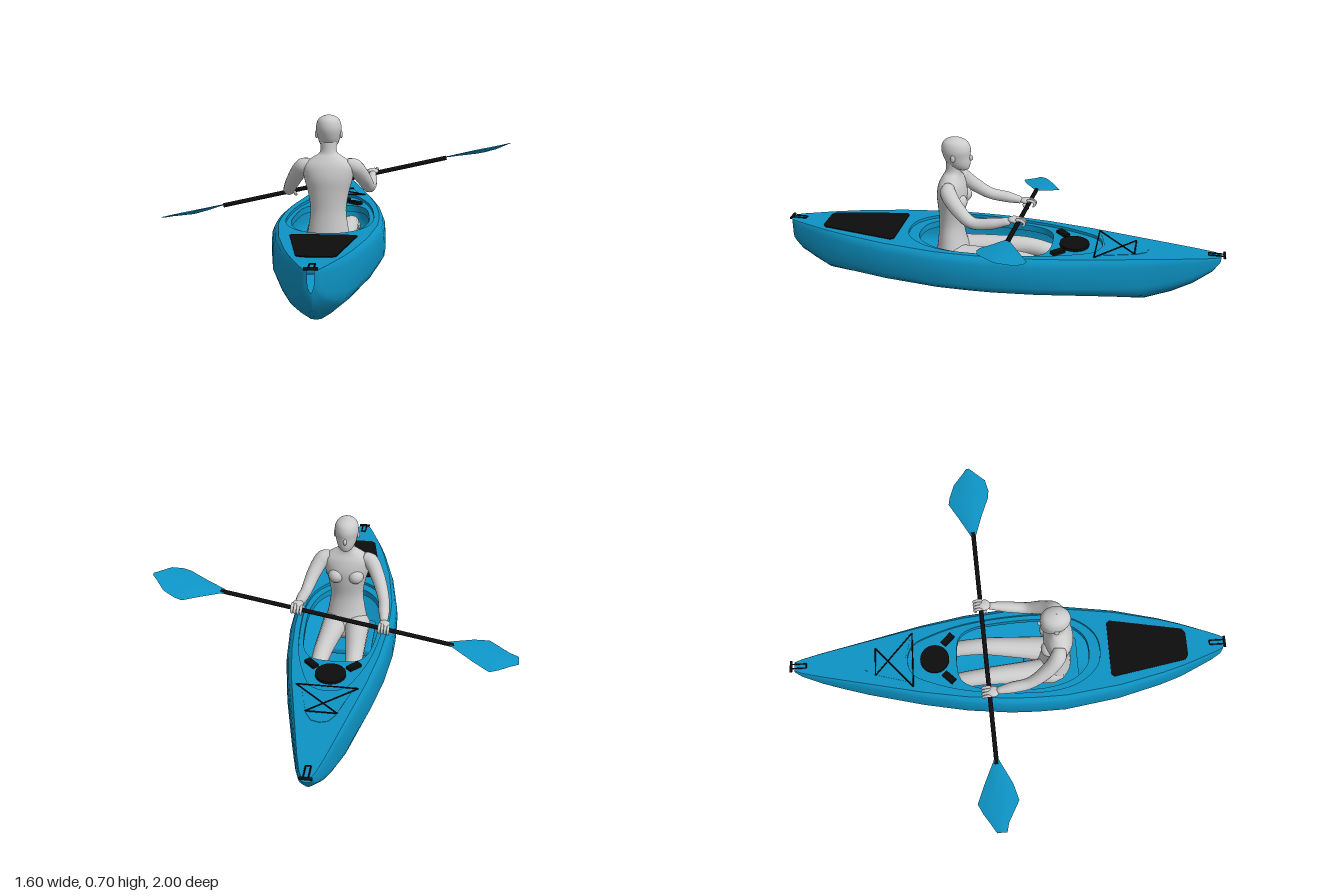
import * as THREE from 'three';
import { RoundedBoxGeometry } from 'three/addons/geometries/RoundedBoxGeometry.js';

const mat = (color) => new THREE.MeshStandardMaterial({ color, side: THREE.DoubleSide });
const V = (x, y, z) => new THREE.Vector3(x, y, z);
const DECK = 0.243, RECESS = 0.23;

// Skin a list of equal-length rings of points; wrap closes each ring.
function loft(rings, wrap) {
  const n = rings[0].length, pos = rings.flat().flatMap((p) => [p.x, p.y, p.z]), index = [];
  for (let i = 0; i < rings.length - 1; i++) {
    for (let j = 0; j < (wrap ? n : n - 1); j++) {
      const a = i * n + j, b = a + n, c = i * n + (j + 1) % n, d = c + n;
      index.push(a, b, c, b, d, c);
    }
  }
  const g = new THREE.BufferGeometry();
  g.setAttribute('position', new THREE.Float32BufferAttribute(pos, 3));
  g.setIndex(index);
  g.computeVertexNormals();
  return g;
}

// Round limb through points [x, y, z, radius].
function limb(pts, steps = 6, sides = 14) {
  const curve = new THREE.CatmullRomCurve3(pts.map((p) => V(p[0], p[1], p[2])));
  const n = (pts.length - 1) * steps, rings = [];
  for (let i = 0; i <= n; i++) {
    const t = i / n, k = Math.min(Math.floor(i / steps), pts.length - 2), f = i / steps - k;
    let r = THREE.MathUtils.lerp(pts[k][3], pts[k + 1][3], f);
    if (i === 0 || i === n) r = 0.0005;
    const T = curve.getTangent(t), N = V(1, 0, 0).cross(T).normalize(), B = T.clone().cross(N), c = curve.getPoint(t);
    rings.push(Array.from({ length: sides }, (_, j) => {
      const a = -j / sides * Math.PI * 2;
      return c.clone().addScaledVector(N, r * Math.cos(a)).addScaledVector(B, r * Math.sin(a));
    }));
  }
  return loft(rings, true);
}

// Upright body from rows [y, halfWidth, halfDepth, centreZ], smoothed.
function upright(rows) {
  const a = new THREE.CatmullRomCurve3(rows.map((r) => V(r[0], r[1], r[2])));
  const b = new THREE.CatmullRomCurve3(rows.map((r) => V(r[0], r[3], 0)));
  const n = (rows.length - 1) * 4;
  return loft(Array.from({ length: n + 1 }, (_, i) => {
    const p = a.getPoint(i / n), cz = b.getPoint(i / n).y;
    return Array.from({ length: 28 }, (_, j) => {
      const q = j / 28 * Math.PI * 2;
      return V(p.y * Math.cos(q), p.x, cz + p.z * Math.sin(q));
    });
  }), true);
}

// Mirror half outline [x, z] into a closed loop, optionally smoothed.
function outline(half, smooth) {
  const other = half.filter((p) => p[0] > 0).map(([x, z]) => [-x, z]).reverse();
  const pts = [...half, ...other].map(([x, z]) => V(x, 0, z));
  return smooth ? new THREE.CatmullRomCurve3(pts, true).getPoints(64).slice(0, -1) : pts;
}
function plate(loop, hole, depth = 0) {
  const flat = (l) => l.map((p) => new THREE.Vector2(p.x, -p.z));
  const shape = new THREE.Shape(flat(loop));
  if (hole) shape.holes.push(new THREE.Path(flat(hole)));
  const g = depth ? new THREE.ExtrudeGeometry(shape, { depth, bevelEnabled: false }) : new THREE.ShapeGeometry(shape);
  return g.rotateX(-Math.PI / 2);
}
const wall = (loop, y0, y1) => loft([y0, y1].map((y) => loop.map((p) => V(p.x, y, p.z))), true);

export function createModel() {
  const model = new THREE.Group();
  const blue = mat(0x0d93c4), black = mat(0x0d0d0d), grey = mat(0xcccccc);
  const add = (name, geo, m, x = 0, y = 0, z = 0, parent = model) => {
    const mesh = new THREE.Mesh(geo, m);
    mesh.name = name;
    mesh.position.set(x, y, z);
    parent.add(mesh);
    return mesh;
  };
  const rod = (name, a, b, r, m, parent) =>
    add(name, new THREE.TubeGeometry(new THREE.LineCurve3(a, b), 1, r, 10), m, 0, 0, 0, parent);

  // Hull: stations [z, half width, keel height] carrying one cross-section
  const stations = [[-0.98, 0.022, 0.215], [-0.95, 0.036, 0.165], [-0.87, 0.06, 0.1], [-0.78, 0.083, 0.05],
    [-0.66, 0.113, 0.003], [-0.4, 0.178, 0], [-0.2, 0.217, 0], [0, 0.239, 0], [0.12, 0.242, 0], [0.25, 0.239, 0],
    [0.5, 0.2, 0], [0.7, 0.147, 0], [0.8, 0.113, 0.002], [0.88, 0.08, 0.04], [0.95, 0.05, 0.08], [0.985, 0.032, 0.12], [0.993, 0.012, 0.16]];
  const half = [[0.88, 1], [0.95, 0.95], [0.985, 0.86], [1, 0.7], [1, 0.45], [0.93, 0.33], [0.82, 0.24], [0.5, 0.11], [0.17, 0.01]];
  const section = [...half, [0, 0], ...half.map(([x, y]) => [-x, y]).reverse()];
  add('hull', loft(stations.map(([z, w, k]) => section.map(([x, y]) => V(x * w, k + (DECK - k) * y, z)))), blue);

  // Deck with a recessed cockpit surround and opening
  const rim = outline([[0, -0.465], [0.07, -0.44], [0.12, -0.34], [0.16, -0.2], [0.185, 0], [0.185, 0.2], [0.15, 0.32], [0.08, 0.4], [0, 0.42]], true);
  const opening = outline([[0, -0.24], [0.1, -0.225], [0.14, -0.17], [0.165, 0], [0.165, 0.17], [0.13, 0.29], [0.07, 0.355], [0, 0.37]], true);
  const deckEdge = outline(stations.map(([z, w]) => [w * 0.88, z]));
  add('deck', plate(deckEdge, rim), blue, 0, DECK);
  add('cockpitSurround', plate(rim, opening), blue, 0, RECESS);
  add('surroundStep', wall(rim, RECESS, DECK), blue);
  add('cockpitLip', wall(opening, RECESS - 0.03, RECESS), blue);
  add('seat', new RoundedBoxGeometry(0.26, 0.04, 0.26, 3, 0.015), blue, 0, 0.06, 0.2);

  // Deck fittings
  add('frontDeckPanel', plate(outline([[0, -0.67], [0.035, -0.66], [0.06, -0.62], [0.105, -0.46], [0.1, -0.45], [0, -0.475]]), null, 0.002), blue, 0, DECK);
  add('rearHatch', plate(outline([[0, 0.46], [0.125, 0.46], [0.136, 0.475], [0.075, 0.805], [0.055, 0.82], [0, 0.82]]), null, 0.004), black, 0, DECK);
  add('roundHatch', new THREE.CylinderGeometry(0.066, 0.066, 0.012, 32), black, 0, RECESS + 0.006, -0.34);
  const cord = (x0, z0, x1, z1) => rod('deckCord', V(x0, DECK + 0.004, z0), V(x1, DECK + 0.004, z1), 0.003, black);
  cord(-0.065, -0.61, 0.065, -0.61);
  cord(-0.13, -0.44, 0.13, -0.44);
  for (const s of [-1, 1]) {
    cord(-s * 0.065, -0.61, s * 0.13, -0.44);
    add('footrestClip', new THREE.BoxGeometry(0.03, 0.014, 0.062), black, s * 0.092, RECESS + 0.007, -0.277).rotation.y = s * Math.PI / 4;
    // Carry handle at each end
    const y = DECK + 0.004;
    for (const x of [-0.01, 0.01]) rod('handleStrap', V(x, y, s * 0.925), V(x, y, s * 0.993), 0.003, black);
    rod('handleStrapEnd', V(-0.01, y, s * 0.925), V(0.01, y, s * 0.925), 0.003, black);
    rod('handleGrip', V(-0.026, y, s * 0.994), V(0.026, y, s * 0.994), 0.006, black);
  }

  // Paddle: slanted shaft and two cambered blades, rows [x, zMin, zMax]
  const paddle = new THREE.Group();
  paddle.name = 'paddle';
  model.add(paddle);
  const shaftAt = (x) => V(x, 0.365 + 0.222 * x, -0.107 - 0.045 * x);
  rod('shaft', shaftAt(-0.51), shaftAt(0.51), 0.01, black, paddle);
  const blade = (name, rows) => add(name, loft(rows.map(([x, z0, z1]) => [-1, -0.5, 0, 0.5, 1].map((v) =>
    V(x, shaftAt(x).y + 0.006 + (z1 - z0) * (0.11 * v - 0.07 * v * v), (z0 + z1) / 2 + v * (z1 - z0) / 2)))), blue, 0, 0, 0, paddle);
  blade('leftBlade', [[0.49, -0.139, -0.119], [0.58, -0.19, -0.087], [0.655, -0.235, -0.055], [0.69, -0.228, -0.05], [0.74, -0.207, -0.063], [0.78, -0.165, -0.11], [0.8, -0.147, -0.133]]);
  blade('rightBlade', [[-0.49, -0.095, -0.075], [-0.6, -0.148, -0.016], [-0.67, -0.178, 0.005], [-0.715, -0.155, -0.02], [-0.76, -0.125, -0.045], [-0.8, -0.1, -0.055]]);

  // Seated paddler facing the bow (-z)
  const person = new THREE.Group();
  person.name = 'paddler';
  model.add(person);
  const part = (name, geo, x, y, z) => add(name, geo, grey, x, y, z, person);
  part('torso', upright([[0.075, 0.06, 0.05, 0.21], [0.12, 0.1, 0.08, 0.21], [0.22, 0.086, 0.063, 0.22], [0.3, 0.076, 0.055, 0.222],
    [0.38, 0.088, 0.062, 0.218], [0.44, 0.104, 0.066, 0.217], [0.49, 0.108, 0.056, 0.217], [0.525, 0.066, 0.04, 0.215],
    [0.545, 0.037, 0.034, 0.21], [0.59, 0.035, 0.035, 0.205]]));
  part('head', upright([[0.552, 0.008, 0.012, 0.165], [0.562, 0.026, 0.034, 0.172], [0.585, 0.041, 0.052, 0.184], [0.62, 0.05, 0.061, 0.193],
    [0.65, 0.054, 0.065, 0.195], [0.68, 0.046, 0.056, 0.197], [0.697, 0.025, 0.03, 0.199], [0.703, 0.001, 0.001, 0.199]]));
  part('nose', new THREE.SphereGeometry(1, 12, 10), 0, 0.612, 0.131).scale.set(0.008, 0.014, 0.012);
  for (const s of [-1, 1]) {
    part('ear', new THREE.SphereGeometry(1, 12, 10), s * 0.052, 0.62, 0.198).scale.set(0.007, 0.017, 0.011);
    part('chest', new THREE.SphereGeometry(0.036, 18, 14), s * 0.045, 0.415, 0.174);
    part('leg', limb([[s * 0.05, 0.14, 0.26, 0.04], [s * 0.052, 0.14, 0.2, 0.062], [s * 0.063, 0.155, 0.05, 0.05], [s * 0.075, 0.165, -0.13, 0.039],
      [s * 0.08, 0.12, -0.3, 0.035], [s * 0.08, 0.075, -0.45, 0.022], [s * 0.08, 0.12, -0.49, 0.018]]));
    // Arm ends in a palm with fingers closed round the shaft
    part('arm', limb(s > 0
      ? [[0.07, 0.495, 0.215, 0.026], [0.108, 0.483, 0.208, 0.036], [0.145, 0.43, 0.16, 0.032], [0.168, 0.38, 0.09, 0.026], [0.176, 0.388, 0, 0.025], [0.178, 0.412, -0.09, 0.015]]
      : [[-0.07, 0.495, 0.215, 0.026], [-0.108, 0.483, 0.208, 0.036], [-0.15, 0.425, 0.16, 0.032], [-0.183, 0.365, 0.08, 0.026], [-0.193, 0.348, 0, 0.025], [-0.2, 0.333, -0.07, 0.015]]));
    const c = shaftAt(s > 0 ? 0.178 : -0.202);
    part('palm', new THREE.SphereGeometry(1, 16, 12), c.x, c.y + 0.014, c.z + 0.016).scale.set(0.026, 0.013, 0.028);
    for (let i = 0; i < 4; i++) {
      const p = shaftAt(c.x + (i - 1.5) * 0.013);
      part('finger', limb([[p.x, p.y + 0.017, p.z + 0.01, 0.007], [p.x, p.y + 0.017, p.z - 0.012, 0.007], [p.x, p.y + 0.004, p.z - 0.03, 0.006],
        [p.x, p.y - 0.014, p.z - 0.02, 0.005]], 4, 8));
    }
    part('thumb', limb([[c.x - s * 0.018, c.y + 0.008, c.z + 0.022, 0.008], [c.x - s * 0.026, c.y - 0.008, c.z + 0.014, 0.007],
      [c.x - s * 0.028, c.y - 0.016, c.z - 0.006, 0.006]], 4, 8));
  }
  return model;
}
